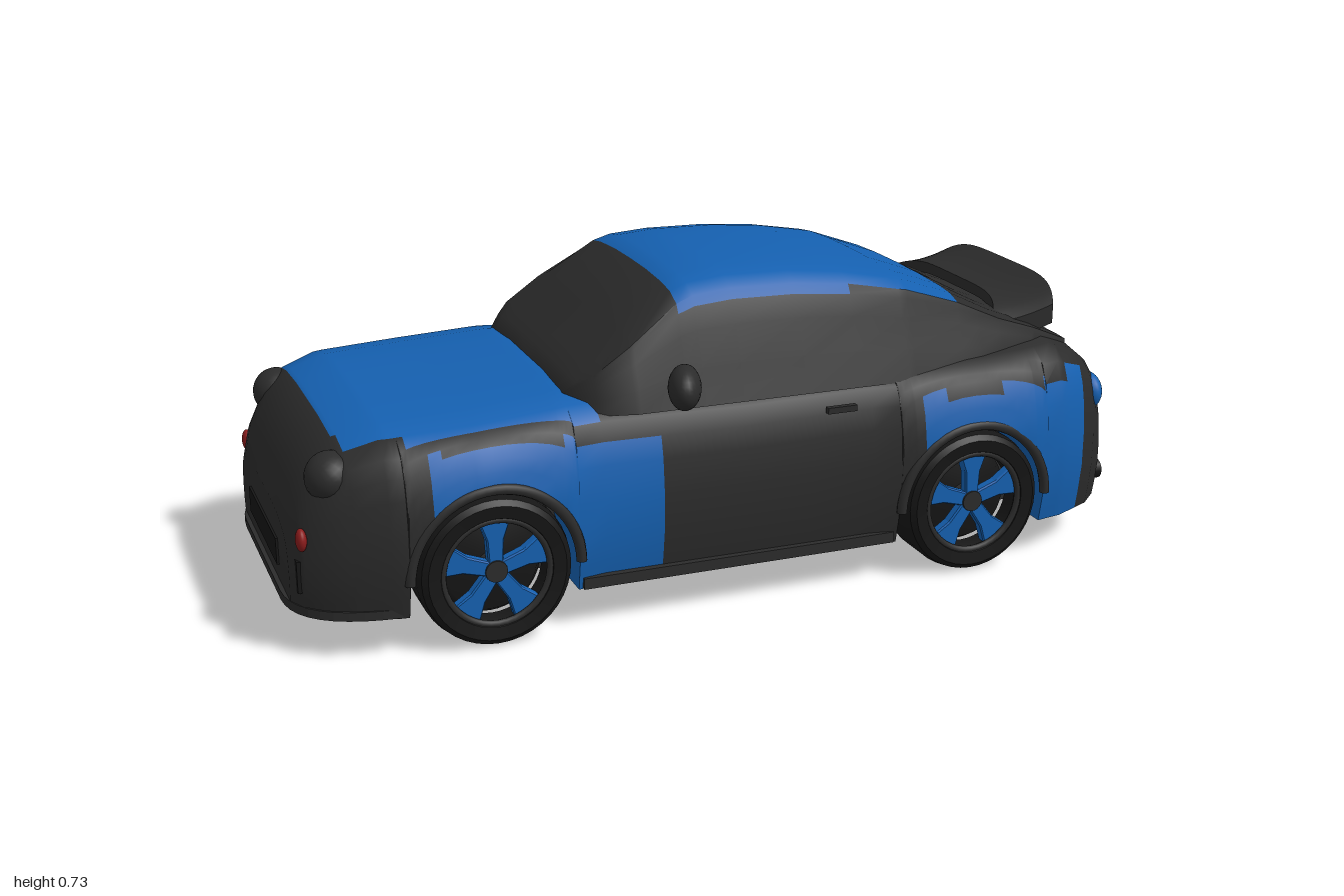
import * as THREE from 'three';
import { toCreasedNormals } from 'three/addons/utils/BufferGeometryUtils.js';

const blue = new THREE.MeshStandardMaterial({ color: 0x1560b0 });
const dark = new THREE.MeshStandardMaterial({ color: 0x2b2b2b });
const black = new THREE.MeshStandardMaterial({ color: 0x161616 });
const red = new THREE.MeshStandardMaterial({ color: 0x8a1c1c });

const BOTTOM = 0.09, WHEEL_Y = 0.168, ARCH_R = 0.185, AXLES = [-0.58, 0.55];

// Linear lookup in a short table of [position, value] pairs
function lookup(table, x) {
  if (x <= table[0][0]) return table[0][1];
  for (let i = 1; i < table.length; i++) {
    const [x0, v0] = table[i - 1], [x1, v1] = table[i];
    if (x <= x1) return v0 + (v1 - v0) * (x - x0) / (x1 - x0);
  }
  return table[table.length - 1][1];
}

// Skin mirrored half sections [z, y] along x; paint() picks blue (0) or dark (1)
function loft(stations, half, paint) {
  const pos = [], lists = [[], []];
  let n = 0;
  for (const x of stations) {
    const h = half(x);
    const ring = [...h, ...h.slice(1, -1).reverse().map(([z, y]) => [-z, y])];
    n = ring.length;
    for (const [z, y] of ring) pos.push(x, y, z);
  }
  const tri = (a, b, c, m) => lists[m].push(a, b, c);
  const mid = (a, b, k) => (pos[a * 3 + k] + pos[b * 3 + k]) / 2;
  for (let i = 0; i < stations.length - 1; i++) for (let j = 0; j < n; j++) {
    const k = (j + 1) % n, a = i * n + j, b = a + n, d = i * n + k, c = d + n;
    const m = paint(mid(a, c, 0), mid(a, c, 1), mid(a, c, 2));
    tri(a, b, c, m); tri(a, c, d, m);
  }
  // End caps as strips across the mirrored points
  const last = (stations.length - 1) * n;
  for (let j = 0; j < n / 2; j++) {
    const p = j, q = j + 1, r = (n - j - 1) % n, s = (n - j) % n;
    tri(p, q, r, 1); tri(p, r, s, 1);
    tri(last + p, last + r, last + q, 1); tri(last + p, last + s, last + r, 1);
  }
  const g = new THREE.BufferGeometry();
  g.setAttribute('position', new THREE.Float32BufferAttribute(pos, 3));
  g.setIndex([...lists[0], ...lists[1]]);
  g.addGroup(0, lists[0].length, 0);
  g.addGroup(lists[0].length, lists[1].length, 1);
  return new THREE.Mesh(toCreasedNormals(g, 0.75), [blue, dark]);
}

function makeBody() {
  const width = [[-0.99, 0.29], [-0.97, 0.335], [-0.93, 0.375], [-0.87, 0.405], [-0.78, 0.43], [-0.6, 0.438],
    [-0.42, 0.425], [-0.33, 0.408], [0.3, 0.41], [0.4, 0.43], [0.55, 0.438], [0.7, 0.434], [0.8, 0.415],
    [0.9, 0.365], [0.95, 0.315], [0.985, 0.235], [1, 0.16]];
  const top = [[-0.99, 0.28], [-0.965, 0.35], [-0.93, 0.41], [-0.88, 0.457], [-0.8, 0.482], [-0.6, 0.492],
    [-0.4, 0.505], [0, 0.5], [0.6, 0.51], [0.78, 0.52], [0.86, 0.49], [0.92, 0.445], [0.965, 0.36], [0.985, 0.28], [1, 0.2]];
  const side = [[0, 0.95], [0.25, 1], [0.6, 1], [0.8, 0.96], [0.93, 0.9], [1, 0.8]];
  const stations = [...new Set([...width, ...top].map(p => p[0])), -0.2, 0.15];
  for (const c of AXLES) {
    for (let k = 0; k <= 16; k++) stations.push(c - (ARCH_R - 0.0001) * Math.cos(Math.PI * k / 16));
    stations.push(c - ARCH_R - 0.001, c + ARCH_R + 0.001);
  }
  stations.sort((a, b) => a - b);

  const half = x => {
    const w = lookup(width, x), t = lookup(top, x), edge = t - 0.02;
    let arch = BOTTOM;
    for (const c of AXLES) {
      const d = Math.abs(x - c);
      if (d < ARCH_R) arch = WHEEL_Y + Math.sqrt(ARCH_R ** 2 - d * d);
    }
    const inner = Math.min(0.255, w * 0.75);
    const pts = [[0, BOTTOM], [inner, BOTTOM], [inner, arch]];
    for (const f of [0, 0.12, 0.3, 0.5, 0.7, 0.82, 0.92, 1]) {
      const y = arch + (edge - arch) * f;
      pts.push([w * lookup(side, (y - BOTTOM) / (edge - BOTTOM)), y]);
    }
    pts.push([w * 0.62, t - 0.007], [w * 0.3, t], [0, t]);
    return pts;
  };
  const paint = (x, y, z) => {
    if (y < 0.1 || x > 0.87 || x < -0.88) return 1;
    if (y > 0.455 && Math.abs(z) < 0.37) return x < -0.3 ? 0 : 1;
    if (z < 0) return y < 0.45 && z < -0.28 ? 0 : 1;
    return z > 0.28 && y < 0.43 && ((x > -0.72 && x < -0.12) || x > 0.42) ? 0 : 1;
  };
  return loft(stations, half, paint);
}

function makeCabin() {
  const top = [[-0.385, 0.5], [-0.36, 0.53], [-0.24, 0.625], [-0.13, 0.707], [-0.09, 0.722], [0, 0.73], [0.15, 0.727],
    [0.28, 0.713], [0.42, 0.685], [0.55, 0.637], [0.66, 0.58], [0.76, 0.54], [0.86, 0.49]];
  const side = [[0.47, 0.375], [0.5, 0.365], [0.55, 0.342], [0.65, 0.31], [0.69, 0.285], [0.73, 0.25]];
  const taper = [[-0.385, 0.75], [-0.33, 0.94], [-0.25, 1], [0.4, 1], [0.6, 0.95], [0.75, 0.86], [0.86, 0.75]];
  const stations = [...new Set([...top, ...taper].map(p => p[0]))].sort((a, b) => a - b);
  const half = x => {
    const h = lookup(top, x) - 0.46, k = lookup(taper, x);
    const pts = [[0, 0.46]];
    for (const f of [0, 0.3, 0.6, 0.78, 0.86]) {
      const y = 0.46 + h * f;
      pts.push([lookup(side, y) * k, y]);
    }
    const e = pts[5][0];
    pts.push([e * 0.87, 0.46 + h * 0.935], [e * 0.68, 0.46 + h * 0.97], [e * 0.35, 0.46 + h * 0.995], [0, 0.46 + h]);
    return pts;
  };
  return loft(stations, half, (x, y, z) =>
    x > -0.12 && x < 0.56 && y > lookup(top, x) - 0.055 && Math.abs(z) < 0.3 ? 0 : 1);
}

function makeWheel() {
  const wheel = new THREE.Group();
  const add = (name, geo, mat) => {
    const m = new THREE.Mesh(geo, mat);
    m.name = name;
    wheel.add(m);
    return m;
  };
  const lathe = pts => new THREE.LatheGeometry(pts.map(p => new THREE.Vector2(...p)), 40).rotateX(Math.PI / 2);
  add('tyre', toCreasedNormals(lathe([[0.118, -0.07], [0.15, -0.08], [0.162, -0.07], [0.167, -0.045],
    [0.167, 0.045], [0.162, 0.07], [0.15, 0.08], [0.122, 0.076], [0.116, 0.066], [0.112, 0.02]]), 0.6), black);
  add('rimBarrel', lathe([[0, -0.06], [0.119, -0.07], [0.115, 0], [0.1, 0.025], [0, 0.025]]), black);
  add('rimLip', new THREE.TorusGeometry(0.117, 0.008, 8, 40).translate(0, 0, 0.068), dark);
  add('hub', new THREE.CylinderGeometry(0.024, 0.032, 0.045, 20).rotateX(Math.PI / 2).translate(0, 0, 0.045), dark);
  // Five spokes that widen towards the rim
  const s = new THREE.Shape();
  s.moveTo(-0.013, 0.015); s.lineTo(0.013, 0.015); s.lineTo(0.016, 0.07);
  s.lineTo(0.032, 0.114); s.lineTo(-0.032, 0.114); s.lineTo(-0.016, 0.07);
  const spoke = new THREE.ExtrudeGeometry(s, { depth: 0.02, bevelSize: 0.003, bevelThickness: 0.004, bevelSegments: 1 });
  for (let k = 0; k < 5; k++) {
    const m = add('spoke', spoke, blue);
    m.position.z = 0.04;
    m.rotation.z = k * Math.PI * 0.4;
  }
  return wheel;
}

// Raised rear wing whose ends curve down onto the deck
function makeWing() {
  const g = new THREE.BoxGeometry(1, 1, 1, 6, 1, 32), p = g.attributes.position;
  for (let i = 0; i < p.count; i++) {
    const u = p.getX(i) + 0.5, v = p.getY(i), z = p.getZ(i) * 2, drop = Math.pow(Math.abs(z), 5);
    const chord = 0.14 + 0.03 * drop;
    p.setXYZ(i, 0.715 - 0.06 * drop + chord * u,
      0.575 - 0.055 * drop + 0.03 * u * u + v * (0.026 + 0.02 * drop), z * 0.275);
  }
  return new THREE.Mesh(toCreasedNormals(g, 0.7), dark);
}

export function createModel() {
  const car = new THREE.Group();
  const put = (name, obj, x = 0, y = 0, z = 0) => {
    obj.name = name;
    obj.position.set(x, y, z);
    car.add(obj);
    return obj;
  };
  const box = (name, w, h, d, x, y, z, mat) => put(name, new THREE.Mesh(new THREE.BoxGeometry(w, h, d), mat), x, y, z);
  const ball = (name, sx, sy, sz, x, y, z, mat) => {
    const m = put(name, new THREE.Mesh(new THREE.SphereGeometry(1, 24, 16), mat), x, y, z);
    m.scale.set(sx, sy, sz);
    return m;
  };
  put('body', makeBody());
  put('cabin', makeCabin());
  put('rearWing', makeWing());

  // Front lip, following the nose in plan
  const lip = new THREE.Shape();
  lip.moveTo(-0.78, -0.41);
  lip.bezierCurveTo(-0.92, -0.4, -1, -0.34, -1, -0.22);
  lip.lineTo(-1, 0.22);
  lip.bezierCurveTo(-1, 0.34, -0.92, 0.4, -0.78, 0.41);
  const lipGeo = new THREE.ExtrudeGeometry(lip, { depth: 0.02, bevelEnabled: false, curveSegments: 10 }).rotateX(Math.PI / 2);
  put('frontLip', new THREE.Mesh(lipGeo, dark), 0, 0.112, 0);
  box('grille', 0.02, 0.06, 0.34, -0.985, 0.18, 0, black);
  box('rearSlot', 0.012, 0.012, 0.26, 0.988, 0.25, 0, black);
  box('rearFogLamp', 0.02, 0.03, 0.05, 0.992, 0.125, 0, black);

  for (const s of [1, -1]) {
    for (const x of AXLES) {
      const w = put(x < 0 ? 'frontWheel' : 'rearWheel', makeWheel(), x, WHEEL_Y, s * 0.352);
      if (s < 0) w.rotation.y = Math.PI;
      put('archFlare', new THREE.Mesh(new THREE.TorusGeometry(ARCH_R, 0.012, 8, 28, Math.PI), s > 0 ? dark : blue),
        x, WHEEL_Y, s * 0.425);
    }
    // Door mirror on a short stalk
    ball('doorMirror', 0.036, 0.048, 0.066, -0.16, 0.525, s * 0.422, dark).rotation.y = -s * 0.35;
    box('mirrorStalk', 0.03, 0.02, 0.07, -0.15, 0.492, s * 0.37, dark);
    box('doorHandle', 0.07, 0.014, 0.014, 0.22, 0.425, s * 0.4, dark);
    box('sideSill', 0.74, 0.025, 0.03, -0.015, 0.105, s * 0.395, dark);
    // Lamps, intakes and exhausts
    ball('headlight', 0.055, 0.055, 0.06, -0.895, 0.385, s * 0.31, dark).rotation.z = 0.6;
    ball('markerLamp', 0.012, 0.025, 0.02, -0.968, 0.265, s * 0.335, red);
    box('sideIntake', 0.03, 0.07, 0.09, -0.965, 0.18, s * 0.285, black);
    ball('tailLight', 0.03, 0.045, 0.05, 0.915, 0.36, s * 0.3, blue);
    const pipe = new THREE.CylinderGeometry(0.024, 0.024, 0.08, 18).rotateZ(Math.PI / 2);
    for (const z of [0.22, 0.275]) put('exhaust', new THREE.Mesh(pipe, black), 0.935, 0.145, s * z);
  }
  for (const x of AXLES)
    put('axle', new THREE.Mesh(new THREE.CylinderGeometry(0.025, 0.025, 0.6, 14).rotateX(Math.PI / 2), black), x, WHEEL_Y, 0);
  return car;
}
